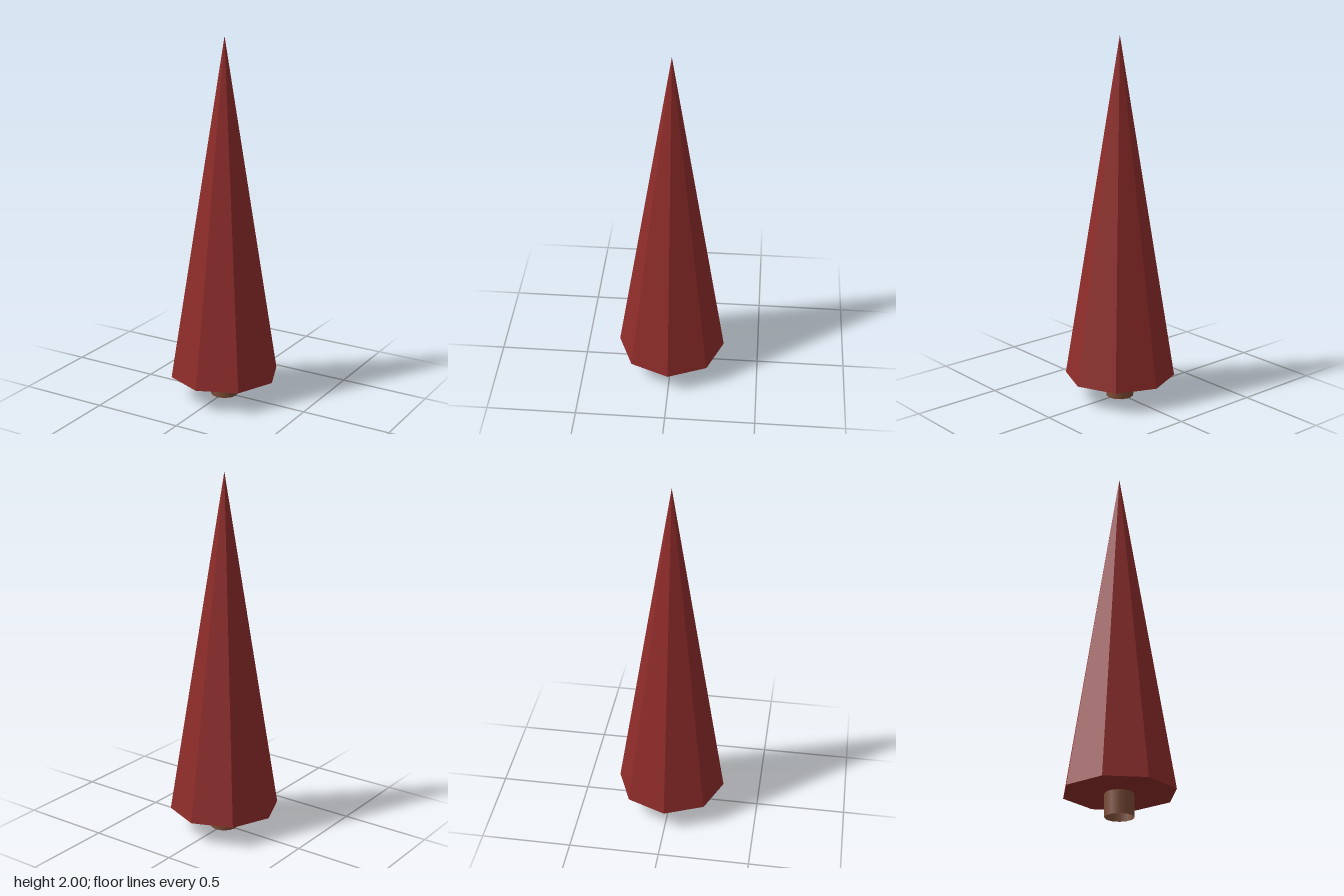
import * as THREE from 'three';

export function createModel() {
  const group = new THREE.Group();
  const trunkHeight = 0.125;
  const crownHeight = 2 - trunkHeight;

  // Eight-sided crown with a closed underside
  const crown = new THREE.Mesh(
    new THREE.ConeGeometry(0.302, crownHeight, 8),
    new THREE.MeshStandardMaterial({ color: 0x8e2c2a, flatShading: true })
  );
  crown.name = 'crown';
  crown.position.y = trunkHeight + crownHeight / 2;

  // Short open trunk tube
  const trunk = new THREE.Mesh(
    new THREE.CylinderGeometry(0.077, 0.077, trunkHeight, 12, 1, true),
    new THREE.MeshStandardMaterial({ color: 0x7a4a35, side: THREE.DoubleSide })
  );
  trunk.name = 'trunk';
  trunk.position.y = trunkHeight / 2;

  group.add(crown, trunk);
  return group;
}
